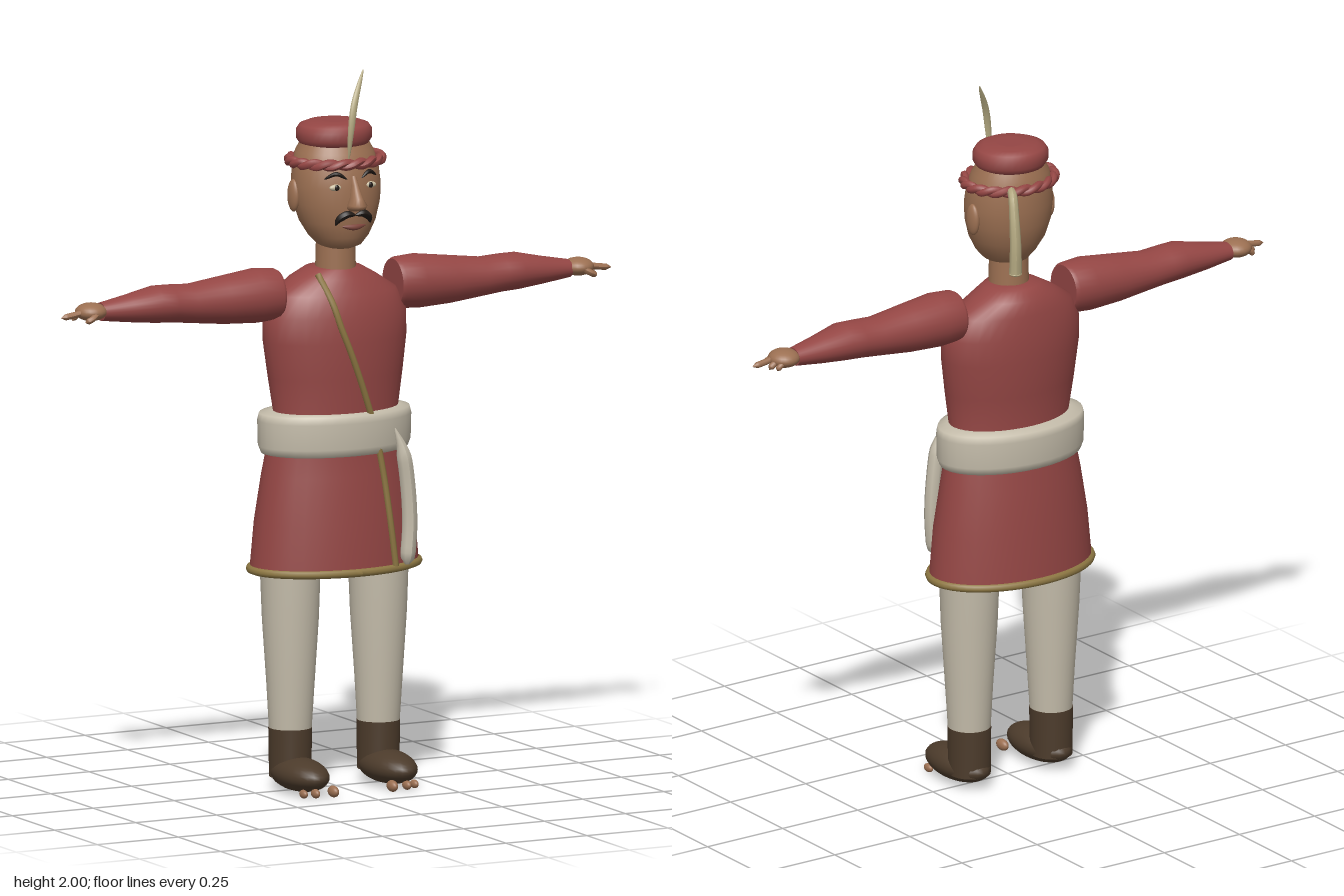
import * as THREE from 'three';

const M = {};
for (const [name, hex] of Object.entries({
  red: 0x944644, cream: 0xc4bcaa, skin: 0x9c7052, leather: 0x4c3b2b, gold: 0x8c7642,
  plume: 0xb5aa82, black: 0x211a16, eyeWhite: 0xc9bda0, lip: 0x7d453c,
})) {
  M[name] = new THREE.MeshStandardMaterial({ color: hex });
  M[name].name = name;
}

// rings: [height, half width, front z, back z, x shift]; elliptical sections, capped ends
function loft(rings, seg = 36) {
  const pos = [], idx = [];
  const addRing = ([y, rx, zf, zb, cx = 0]) => {
    for (let j = 0; j < seg; j++) {
      const a = (j / seg) * Math.PI * 2;
      pos.push(cx + rx * Math.sin(a), y, (zf + zb) / 2 + ((zf - zb) / 2) * Math.cos(a));
    }
  };
  rings.forEach(addRing);
  for (let i = 0; i < rings.length - 1; i++) {
    for (let j = 0; j < seg; j++) {
      const k = (j + 1) % seg, a = i * seg + j, b = i * seg + k;
      idx.push(a, b, b + seg, a, b + seg, a + seg);
    }
  }
  [rings[0], rings[rings.length - 1]].forEach((r, end) => {
    const base = pos.length / 3;
    addRing(r);
    pos.push(r[4] || 0, r[0], (r[2] + r[3]) / 2);
    for (let j = 0; j < seg; j++) {
      const a = base + j, b = base + ((j + 1) % seg);
      end ? idx.push(base + seg, a, b) : idx.push(base + seg, b, a);
    }
  });
  const g = new THREE.BufferGeometry();
  g.setAttribute('position', new THREE.Float32BufferAttribute(pos, 3));
  g.setIndex(idx);
  g.computeVertexNormals();
  return g;
}

// front z of a lofted body at (x, y)
function frontZ(rings, x, y) {
  let i = 0;
  while (i < rings.length - 2 && y > rings[i + 1][0]) i++;
  const a = rings[i], b = rings[i + 1];
  const t = THREE.MathUtils.clamp((y - a[0]) / (b[0] - a[0]), 0, 1);
  const [, rx, zf, zb] = a.map((v, n) => v + (b[n] - v) * t);
  return (zf + zb) / 2 + ((zf - zb) / 2) * Math.sqrt(Math.max(0, 1 - (x / rx) ** 2));
}

// tube whose radius follows radius(t), optionally flattened on an axis
function taper(pts, radius, flat = [1, 1, 1], n = 24, closed = false) {
  const curve = new THREE.CatmullRomCurve3(pts.map((p) => new THREE.Vector3(...p)), closed);
  const rs = 8, g = new THREE.TubeGeometry(curve, n, 1, rs, closed), p = g.attributes.position;
  const v = new THREE.Vector3(), f = new THREE.Vector3(...flat);
  for (let i = 0; i < p.count; i++) {
    const t = Math.floor(i / (rs + 1)) / n, c = curve.getPointAt(t);
    v.fromBufferAttribute(p, i).sub(c).multiplyScalar(radius(t)).multiply(f).add(c);
    p.setXYZ(i, v.x, v.y, v.z);
  }
  g.computeVertexNormals();
  return g;
}

const leaf = (r) => (t) => r * Math.pow(Math.sin(Math.PI * (0.02 + 0.96 * t)), 0.7);
const ball = (x, y, z, sx, sy, sz) =>
  new THREE.SphereGeometry(1, 24, 16).scale(sx, sy, sz).translate(x, y, z);

const TUNIC = [
  [0.615, 0.248, 0.148, -0.17], [0.75, 0.236, 0.14, -0.16], [0.88, 0.215, 0.125, -0.145],
  [0.96, 0.2, 0.115, -0.13], [1.05, 0.183, 0.112, -0.118], [1.15, 0.198, 0.118, -0.13],
  [1.25, 0.212, 0.118, -0.136], [1.32, 0.213, 0.112, -0.134], [1.38, 0.185, 0.094, -0.125],
  [1.42, 0.125, 0.07, -0.115], [1.445, 0.08, 0.055, -0.09], [1.45, 0.05, 0.04, -0.06],
];
const HEAD = [
  [1.505, 0.04, 0.06, -0.04], [1.515, 0.06, 0.085, -0.055], [1.54, 0.083, 0.1, -0.075],
  [1.58, 0.106, 0.11, -0.098], [1.63, 0.121, 0.114, -0.112], [1.68, 0.126, 0.112, -0.116],
  [1.73, 0.121, 0.105, -0.115], [1.77, 0.11, 0.088, -0.11], [1.81, 0.088, 0.065, -0.09],
];

export function createModel() {
  const model = new THREE.Group();
  const add = (name, geo, mat) => {
    const m = new THREE.Mesh(geo, M[mat]);
    m.name = name;
    model.add(m);
    return m;
  };

  // tunic with hem and waist sash
  add('tunic', loft(TUNIC), 'red');
  const hem = [];
  for (let i = 0; i < 32; i++) {
    const a = (i / 32) * Math.PI * 2;
    hem.push([0.247 * Math.sin(a), 0.618, -0.011 + 0.158 * Math.cos(a)]);
  }
  add('hem', taper(hem, () => 0.011, [1, 1, 1], 64, true), 'gold');
  add('sash', loft([
    [0.936, 0.2, 0.115, -0.13], [0.94, 0.216, 0.126, -0.147], [0.96, 0.224, 0.132, -0.153],
    [1.03, 0.226, 0.133, -0.154], [1.05, 0.221, 0.129, -0.15], [1.056, 0.19, 0.112, -0.12],
  ]), 'cream');

  // diagonal cord lying on the tunic
  const cord = [[-0.075, 1.435], [-0.06, 1.36], [-0.045, 1.3], [-0.015, 1.22], [0.03, 1.1],
    [0.063, 1.0], [0.085, 0.88], [0.1, 0.75], [0.115, 0.625]];
  add('cord', taper(cord.map(([x, y]) => [x, y, frontZ(TUNIC, x, y) + 0.004]), () => 0.009,
    [1, 1, 1], 48), 'gold');

  // curved scabbard hanging from the sash
  add('scabbard', taper([[0.107, 1.01, 0.142], [0.128, 0.95, 0.148], [0.144, 0.85, 0.148],
    [0.15, 0.74, 0.148], [0.142, 0.63, 0.148]],
  (t) => 0.022 * Math.min(1, 0.12 + t * 4, 0.3 + (1 - t) * 14)), 'cream');

  // neck, head and face
  add('neck', new THREE.CylinderGeometry(0.053, 0.057, 0.14, 28).translate(0, 1.475, -0.003), 'skin');
  add('head', loft(HEAD), 'skin');
  const onFace = (pts, lift = 0.002) => pts.map(([x, y]) => [x, y, frontZ(HEAD, x, y) + lift]);
  add('nose', loft([
    [1.618, 0.016, 0.12, 0.09], [1.626, 0.026, 0.148, 0.09], [1.637, 0.025, 0.162, 0.09],
    [1.655, 0.017, 0.146, 0.09], [1.69, 0.011, 0.124, 0.09], [1.715, 0.008, 0.108, 0.09],
  ], 16), 'skin');
  add('lips', taper(onFace([[-0.036, 1.576], [0, 1.572], [0.036, 1.576]]), leaf(0.008)), 'lip');
  for (const s of [-1, 1]) {
    add('moustache', taper(onFace([[0, 1.607], [s * 0.025, 1.61], [s * 0.046, 1.597], [s * 0.054, 1.58]], 0.004),
      leaf(0.011)), 'black');
    add('eyebrow', taper(onFace([[s * 0.022, 1.707], [s * 0.05, 1.722], [s * 0.08, 1.708]]),
      leaf(0.006)), 'black');
    const ez = frontZ(HEAD, s * 0.052, 1.685);
    add('eye', ball(s * 0.052, 1.685, ez - 0.002, 0.02, 0.009, 0.008), 'eyeWhite');
    add('pupil', ball(s * 0.052, 1.685, ez + 0.004, 0.007, 0.008, 0.004), 'black');
    add('ear', ball(s * 0.125, 1.652, -0.012, 0.014, 0.045, 0.025), 'skin');
  }

  // cap with twisted brim
  for (const phase of [0, Math.PI]) {
    const twist = [];
    for (let i = 0; i < 72; i++) {
      const a = (i / 72) * Math.PI * 2, w = 9 * a + phase, r = 0.005 * Math.cos(w);
      twist.push([(0.13 + r) * Math.sin(a), 1.746 + 0.006 * Math.sin(w), -0.005 + (0.108 + r) * Math.cos(a)]);
    }
    add('capBrim', taper(twist, () => 0.011, [1, 1, 1], 144, true), 'red');
  }
  add('capCrown', loft([
    [1.784, 0.075, 0.06, -0.085], [1.79, 0.096, 0.078, -0.102], [1.805, 0.106, 0.087, -0.111],
    [1.828, 0.106, 0.087, -0.111], [1.842, 0.096, 0.079, -0.103], [1.85, 0.074, 0.062, -0.084],
    [1.853, 0.04, 0.03, -0.05],
  ]), 'red');
  add('feather', taper([[-0.013, 1.76, 0.1], [-0.01, 1.84, 0.108], [0.003, 1.91, 0.102], [0.047, 2, 0.07]],
    leaf(0.011), [1, 1, 0.7]), 'plume');
  add('hangingPlume', taper([[0.06, 1.75, -0.1], [0.073, 1.745, -0.128], [0.083, 1.69, -0.15],
    [0.087, 1.61, -0.162], [0.086, 1.53, -0.16]], (t) => 0.012 + 0.006 * t), 'plume');
  add('plumeTip', ball(0.086, 1.531, -0.16, 0.018, 0.006, 0.018), 'plume');

  for (const s of [-1, 1]) {
    // sleeve, lofted outward along x
    const sleeve = [
      [0.18, 0.066, 0.055, -0.07, 0], [0.19, 0.071, 0.063, -0.078, 0], [0.25, 0.075, 0.068, -0.083, 0],
      [0.35, 0.066, 0.062, -0.077, -0.004], [0.45, 0.054, 0.053, -0.068, -0.005], [0.51, 0.052, 0.055, -0.07, 0],
      [0.56, 0.051, 0.056, -0.068, 0.002], [0.64, 0.038, 0.038, -0.056, -0.003], [0.722, 0.025, 0.02, -0.042, -0.006],
    ].map(([x, h, zf, zb, dy]) => [x, h, zf, zb, -s * dy]);
    const arm = add('sleeve', loft(sleeve, 28), 'red');
    arm.rotation.z = -s * Math.PI / 2;
    arm.position.y = 1.385;

    // hand with fingers
    add('palm', ball(s * 0.752, 1.382, -0.009, 0.044, 0.025, 0.045), 'skin');
    const finger = (name, pts, r) =>
      add(name, taper(pts.map(([x, y, z]) => [s * x, y, z]), (t) => r * Math.min(1, 0.05 + (1 - t) * 5)), 'skin');
    finger('indexFinger', [[0.77, 1.385, 0], [0.81, 1.378, 0], [0.85, 1.373, 0]], 0.009);
    finger('middleFinger', [[0.77, 1.382, -0.018], [0.795, 1.372, -0.018], [0.806, 1.36, -0.016]], 0.009);
    finger('littleFinger', [[0.765, 1.38, -0.036], [0.785, 1.37, -0.036], [0.79, 1.358, -0.033]], 0.008);
    finger('thumb', [[0.75, 1.38, 0.025], [0.772, 1.368, 0.034], [0.79, 1.36, 0.03]], 0.009);

    // trouser leg
    const x = s * 0.136;
    add('trouserLeg', loft([
      [0.165, 0.058, 0.049, -0.069, x], [0.3, 0.066, 0.058, -0.076, x],
      [0.48, 0.078, 0.069, -0.088, x], [0.64, 0.084, 0.074, -0.095, x],
    ], 28), 'cream');

    // boot and toes
    add('bootAnkle', loft([[0.04, 0.057, 0.05, -0.072, x], [0.176, 0.06, 0.05, -0.071, x]], 28), 'leather');
    const boot = ball(x, 0.054, 0.045, 0.066, 0.046, 0.125);
    const p = boot.attributes.position;
    for (let i = 0; i < p.count; i++) p.setY(i, Math.max(0.012, p.getY(i)));
    boot.computeVertexNormals();
    add('bootFoot', boot, 'leather');
    [[-0.045, 0.158, 0.016], [0.005, 0.148, 0.013], [0.035, 0.135, 0.012]].forEach(([dx, z, r]) =>
      add('toe', ball(x + s * dx, 0.002 + r * 1.1, z, r * 0.8, r, r * 1.5), 'skin'));
  }
  return model;
}
